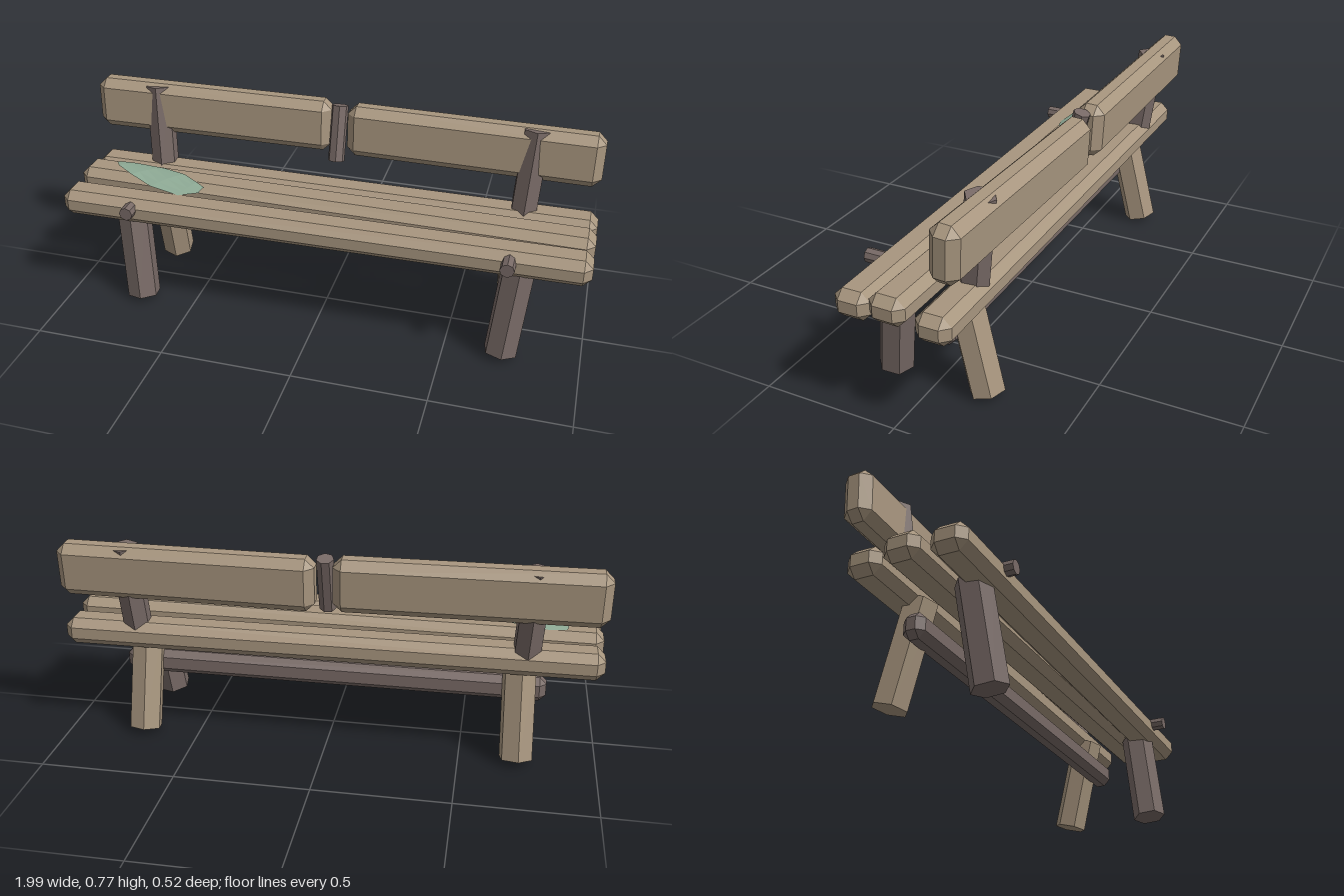
import * as THREE from 'three';
import { ConvexGeometry } from 'three/addons/geometries/ConvexGeometry.js';

const paleWood = new THREE.MeshStandardMaterial({ name: 'paleWood', color: 0xa8967f, flatShading: true });
const darkWood = new THREE.MeshStandardMaterial({ name: 'darkWood', color: 0x786a66, flatShading: true });
const leafGreen = new THREE.MeshStandardMaterial({ name: 'leafGreen', color: 0x8fab96, flatShading: true, side: THREE.DoubleSide });

// Box with every edge and corner cut off by c
function chamferBox(w, h, d, c) {
  const pts = [];
  for (const sx of [-1, 1]) for (const sy of [-1, 1]) for (const sz of [-1, 1]) {
    const [x, y, z] = [w / 2, h / 2, d / 2];
    pts.push(
      new THREE.Vector3(sx * x, sy * (y - c), sz * (z - c)),
      new THREE.Vector3(sx * (x - c), sy * y, sz * (z - c)),
      new THREE.Vector3(sx * (x - c), sy * (y - c), sz * z));
  }
  return new ConvexGeometry(pts);
}

function beam(name, size, c, pos, material, rotX = 0, rotY = 0) {
  const mesh = new THREE.Mesh(chamferBox(...size, c), material);
  mesh.name = name;
  mesh.position.set(...pos);
  mesh.rotation.set(rotX, rotY, 0);
  return mesh;
}

// Straight faceted log between two points
function log(name, from, to, radius, sides, material, twist = 0.17) {
  const a = new THREE.Vector3(...from), b = new THREE.Vector3(...to);
  const dir = b.clone().sub(a);
  const geo = new THREE.CylinderGeometry(radius, radius, dir.length(), sides);
  geo.rotateY(twist);
  const mesh = new THREE.Mesh(geo, material);
  mesh.name = name;
  mesh.position.copy(a).add(b).multiplyScalar(0.5);
  mesh.quaternion.setFromUnitVectors(new THREE.Vector3(0, 1, 0), dir.normalize());
  return mesh;
}

// Thin leaf draped over the seat: cross-sections of five points along its length
function leafGeometry() {
  // x and z of the back edge, x and z of the front edge
  const sections = [
    [-0.862, -0.035, -0.868, -0.02], [-0.8, -0.043, -0.845, 0.015], [-0.67, -0.02, -0.77, 0.065],
    [-0.57, 0.015, -0.67, 0.112], [-0.5, 0.06, -0.55, 0.133], [-0.463, 0.082, -0.475, 0.112],
  ];
  const n = 5, pos = [], index = [];
  sections.forEach(([x0, z0, x1, z1], i) => {
    for (let j = 0; j < n; j++) {
      const t = j / (n - 1), z = z0 + (z1 - z0) * t;
      pos.push(x0 + (x1 - x0) * t, 0.49 - 2.6 * (z - 0.03) ** 2, z);
      if (i && j) {
        const d = i * n + j, c = d - 1, b = d - n, a = b - 1;
        index.push(a, b, d, a, d, c);
      }
    }
  });
  const geo = new THREE.BufferGeometry();
  geo.setAttribute('position', new THREE.Float32BufferAttribute(pos, 3));
  geo.setIndex(index);
  geo.computeVertexNormals();
  return geo;
}

export function createModel() {
  const bench = new THREE.Group();
  bench.name = 'bench';

  // Seat planks, each slightly askew
  bench.add(
    beam('frontSeatPlank', [1.99, 0.103, 0.13], 0.03, [0, 0.409, 0.154], paleWood, 0, 0.01),
    beam('middleSeatPlank', [1.99, 0.103, 0.132], 0.03, [0, 0.424, 0.007], paleWood, 0, -0.01),
    beam('backSeatPlank', [1.99, 0.103, 0.128], 0.03, [0, 0.402, -0.141], paleWood, 0, 0.005));

  // Backrest halves, leaning back
  bench.add(
    beam('rightBackrestBoard', [0.955, 0.2, 0.106], 0.032, [-0.511, 0.669, -0.196], paleWood, -0.05, 0.015),
    beam('leftBackrestBoard', [0.955, 0.2, 0.106], 0.032, [0.508, 0.663, -0.196], paleWood, -0.05, -0.015));

  // Stretcher between the legs
  bench.add(beam('stretcher', [1.6, 0.094, 0.082], 0.024, [-0.003, 0.253, -0.063], darkWood));

  // Legs, backrest posts and pegs on both sides
  for (const [side, s] of [['left', 1], ['right', -1]]) {
    bench.add(
      log(side + 'FrontLeg', [s * 0.71, 0.017, 0.175], [s * 0.743, 0.385, 0.124], 0.064, 6, darkWood),
      log(side + 'BackLeg', [s * 0.71, 0.016, -0.184], [s * 0.7, 0.385, -0.095], 0.064, 6, paleWood),
      log(side + 'BackrestPost', [s * 0.72, 0.42, -0.148], [s * 0.737, 0.757, -0.19], 0.053, 6, darkWood, 0.1),
      log(side + 'Peg', [s * 0.71, 0.425, 0.19], [s * 0.71, 0.425, 0.26], 0.026, 8, darkWood, 0));
  }

  // Short post joining the two backrest boards
  bench.add(log('middlePost', [-0.003, 0.55, -0.14], [-0.003, 0.757, -0.198], 0.032, 7, darkWood));

  // Fallen leaf on the seat
  const leaf = new THREE.Mesh(leafGeometry(), leafGreen);
  leaf.name = 'leaf';
  bench.add(leaf);

  return bench;
}
